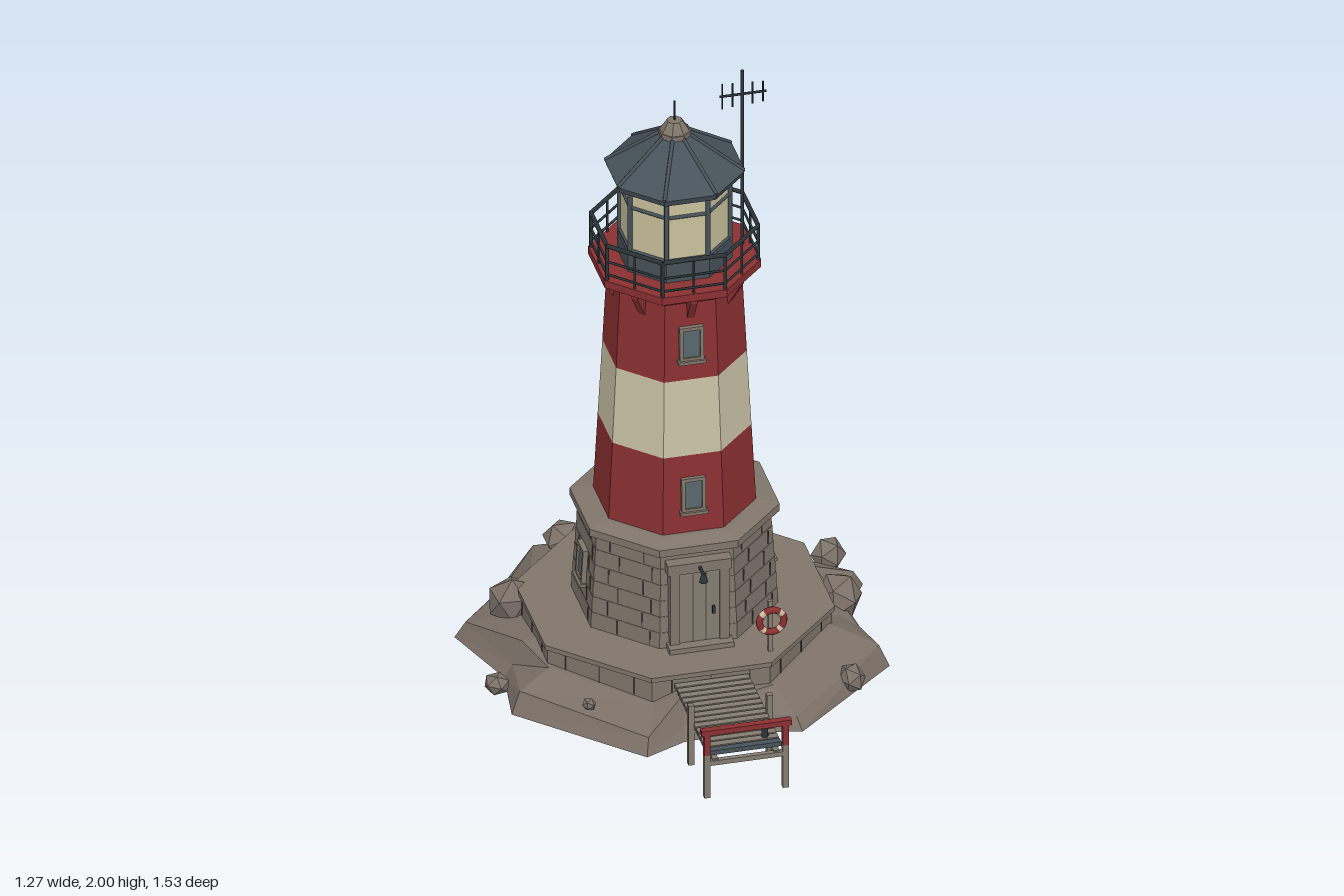
import * as THREE from 'three';

const mat = (name, color) => Object.assign(new THREE.MeshStandardMaterial({ color }), { name });
const M = {
  rock: mat('rock', 0x7c7168), stone: mat('stone', 0x80766b), joint: mat('dark joint', 0x4a443f),
  red: mat('red paint', 0x8a2f31), cream: mat('cream paint', 0xcac2a6), glass: mat('lantern glass', 0xc8c09c),
  slate: mat('slate metal', 0x47525a), iron: mat('dark iron', 0x2c3438), wood: mat('weathered wood', 0x857c71),
  pane: mat('window pane', 0x59656a),
};

const flat = (geo) => {
  const g = geo.index ? geo.toNonIndexed() : geo;
  g.computeVertexNormals();
  return g;
};

function add(parent, name, geo, material, x = 0, y = 0, z = 0) {
  const m = new THREE.Mesh(geo, material);
  m.name = name;
  m.position.set(x, y, z);
  parent.add(m);
  return m;
}
const box = (p, name, material, w, h, d, x, y, z) => add(p, name, new THREE.BoxGeometry(w, h, d), material, x, y, z);

// Octagonal frustum with flat sides facing the axes; a0 and a1 are apothems
const K = Math.cos(Math.PI / 8);
const oct = (p, name, material, a0, a1, y0, y1) => add(p, name,
  flat(new THREE.CylinderGeometry(a1 / K, a0 / K, y1 - y0, 8, 1, false, Math.PI / 8)), material, 0, (y0 + y1) / 2, 0);

const corner = (a, y, i) => {
  const t = Math.PI / 8 + i * Math.PI / 4;
  return new THREE.Vector3(Math.sin(t) * a / K, y, Math.cos(t) * a / K);
};

// Round bar between two points
function bar(p, name, material, a, b, r, sides = 6) {
  const d = b.clone().sub(a);
  const m = add(p, name, new THREE.CylinderGeometry(r, r, d.length(), sides), material);
  m.position.copy(a).add(b).multiplyScalar(0.5);
  m.quaternion.setFromUnitVectors(new THREE.Vector3(0, 1, 0), d.normalize());
  return m;
}
const V = (x, y, z) => new THREE.Vector3(x, y, z);

// Group turned toward one side of the octagon, +z pointing out
function side(p, k, name) {
  const g = new THREE.Group();
  g.name = name;
  g.rotation.y = k * Math.PI / 4;
  p.add(g);
  return g;
}

function makeWindow(p, k, a, y, slope) {
  const holder = side(p, k, 'window');
  const g = new THREE.Group();
  g.position.set(0, y, a);
  g.rotation.x = -slope;
  holder.add(g);
  box(g, 'windowPane', M.pane, 0.056, 0.095, 0.008, 0, 0, 0.004);
  for (const s of [-1, 1]) {
    box(g, 'windowJamb', M.stone, 0.011, 0.115, 0.024, s * 0.032, 0, 0.002);
    box(g, 'windowLintel', M.stone, 0.075, 0.011, 0.024, 0, s * 0.052, 0.002);
  }
  box(g, 'windowSill', M.stone, 0.086, 0.01, 0.036, 0, -0.06, 0.004);
}

function makeRock(root) {
  const outline = [[0.2, -0.767], [0.357, -0.6], [0.47, -0.47], [0.633, -0.31], [0.555, -0.17], [0.57, 0], [0.596, 0.162],
    [0.25, 0.46], [0.07, 0.42], [-0.11, 0.43], [-0.24, 0.487], [-0.575, 0.15], [-0.545, -0.06], [-0.633, -0.32],
    [-0.45, -0.53], [-0.31, -0.72], [-0.06, -0.68]];
  const n = outline.length, cz = -0.12, pos = [], idx = [];
  const heights = [0.05, 0.07, 0.04, 0.055, 0.035];
  const ring = (f) => outline.forEach(([x, z], i) => pos.push(...f(x, z - cz, i)));
  ring(() => [0, 0, cz]);
  ring((x, z) => [x, 0, z + cz]);
  ring((x, z, i) => [x * 0.95, heights[i % 5], z * 0.95 + cz]);
  ring((x, z, i) => {
    const s = Math.min(0.93, 0.49 / Math.hypot(x, z));
    return [x * s, 0.105 + 0.02 * Math.sin(i * 2.3), z * s + cz];
  });
  ring(() => [0, 0.13, cz]);
  for (let r = 0; r < 4; r++) for (let i = 0; i < n; i++) {
    const a = r * n + i, b = r * n + (i + 1) % n;
    idx.push(a, a + n, b, b, a + n, b + n);
  }
  const g = new THREE.BufferGeometry();
  g.setAttribute('position', new THREE.Float32BufferAttribute(pos, 3));
  g.setIndex(idx);
  add(root, 'rockIsland', flat(g), M.rock);

  // Loose boulders: x, y, z, radius
  [[-0.21, 0.09, -0.645, 0.068], [0.3, 0.09, -0.555, 0.07], [0.55, 0.06, -0.405, 0.058], [0.51, 0.09, -0.12, 0.08],
    [-0.46, 0.12, -0.3, 0.08], [-0.59, 0.04, 0.03, 0.042], [0.45, 0.045, 0.27, 0.048], [-0.37, 0.09, 0.29, 0.022]]
    .forEach(([x, y, z, r], i) => {
      const b = add(root, 'boulder', flat(new THREE.IcosahedronGeometry(r, 0)), M.rock, x, y, z);
      b.rotation.set(i * 1.3, i * 2.1, i * 0.7);
      b.scale.y = 0.85;
    });
}

function makeBase(t) {
  oct(t, 'foundationWall', M.stone, 0.442, 0.442, 0.03, 0.16);
  oct(t, 'foundationCap', M.stone, 0.45, 0.45, 0.16, 0.176);
  // Stone courses, each set back slightly from the one below
  const rows = 6, h = 0.325 / rows;
  for (let r = 0; r < rows; r++) {
    const a = 0.291 - r * 0.0035, y = 0.175 + r * h;
    oct(t, 'stoneCourse', M.stone, a, a - 0.002, y, y + h);
    for (let k = 0; k < 8; k++) for (const u of r % 2 ? [-0.065, 0.055] : [-0.03, 0.085]) {
      if (k === 0 && Math.abs(u) < 0.1) continue;
      if (k % 4 === 2 && Math.abs(u) < 0.04) continue;
      box(side(t, k, 'stoneJoint'), 'joint', M.joint, 0.004, h * 0.85, 0.004, u, y + h / 2, a - 0.001);
    }
  }
  for (let k = 0; k < 8; k++) for (const u of [-0.12, 0, 0.12])
    box(side(t, k, 'foundationJoint'), 'joint', M.joint, 0.004, 0.06, 0.004, u, 0.128, 0.442);
  oct(t, 'baseCornice', M.stone, 0.295, 0.295, 0.5, 0.525);
  oct(t, 'baseCorniceTop', M.stone, 0.295, 0.245, 0.525, 0.537);
  makeWindow(t, 2, 0.283, 0.335, 0.06);
  makeWindow(t, 6, 0.283, 0.335, 0.06);

  // Door with frame, step and lamp
  const d = side(t, 0, 'doorway');
  box(d, 'door', M.wood, 0.124, 0.26, 0.02, 0, 0.305, 0.291);
  for (const s of [-1, 1]) box(d, 'doorJamb', M.stone, 0.03, 0.275, 0.04, s * 0.077, 0.3125, 0.288);
  for (const u of [-0.02, 0.02]) box(d, 'doorPlankGap', M.joint, 0.003, 0.25, 0.002, u, 0.305, 0.301);
  box(d, 'doorLintel', M.stone, 0.2, 0.035, 0.05, 0, 0.457, 0.285);
  box(d, 'doorHandle', M.iron, 0.008, 0.025, 0.012, 0.043, 0.3, 0.305);
  box(d, 'doorStep', M.stone, 0.2, 0.018, 0.06, 0, 0.184, 0.305);
  bar(d, 'lampArm', M.iron, V(0, 0.458, 0.28), V(0, 0.458, 0.355), 0.005);
  add(d, 'lampShade', new THREE.CylinderGeometry(0.006, 0.014, 0.03, 8), M.iron, 0, 0.447, 0.352);
}

function makeTower(t) {
  oct(t, 'lowerRedBand', M.red, 0.229, 0.216, 0.535, 0.8);
  oct(t, 'creamBand', M.cream, 0.216, 0.203, 0.8, 1.06);
  oct(t, 'upperRedBand', M.red, 0.203, 0.19, 1.06, 1.33);
  oct(t, 'galleryCorbel', M.red, 0.191, 0.232, 1.325, 1.36);
  oct(t, 'gallerySlab', M.red, 0.243, 0.243, 1.36, 1.386);
  makeWindow(t, 0, 0.222, 0.668, 0.05);
  makeWindow(t, 0, 0.198, 1.188, 0.05);
  makeWindow(t, 4, 0.211, 0.925, 0.05);
  const tri = new THREE.Shape([new THREE.Vector2(0, 0), new THREE.Vector2(0.048, 0.085), new THREE.Vector2(0.048, 0.1), new THREE.Vector2(0, 0.1)]);
  const bracket = new THREE.ExtrudeGeometry(tri, { depth: 0.022, bevelEnabled: false });
  bracket.rotateY(-Math.PI / 2).translate(0.011, 0, 0);
  for (let k = 0; k < 8; k++) add(side(t, k, 'galleryBracket'), 'bracket', bracket, M.red, 0, 1.262, 0.188);
}

function makeLantern(t) {
  // Gallery railing
  for (let i = 0; i < 8; i++) {
    for (const [y, r] of [[1.505, 0.007], [1.45, 0.004], [1.405, 0.004]])
      bar(t, 'galleryRail', M.iron, corner(0.235, y, i), corner(0.235, y, i + 1), r);
    const foot = corner(0.235, 1.385, i), mid = foot.clone().add(corner(0.235, 1.385, i + 1)).multiplyScalar(0.5);
    bar(t, 'railPost', M.iron, foot, foot.clone().setY(1.51), 0.006);
    bar(t, 'railPost', M.iron, mid, mid.clone().setY(1.505), 0.004);
  }
  // Glazed lantern room
  oct(t, 'lanternWall', M.slate, 0.162, 0.162, 1.385, 1.45);
  oct(t, 'lanternGlass', M.glass, 0.153, 0.153, 1.45, 1.68);
  for (let i = 0; i < 8; i++) {
    bar(t, 'lanternMullion', M.slate, corner(0.155, 1.45, i), corner(0.155, 1.68, i), 0.008);
    for (const y of [1.458, 1.61, 1.672])
      bar(t, 'lanternGlazingBar', M.slate, corner(0.154, y, i), corner(0.154, y, i + 1), 0.006);
    bar(t, 'roofRib', M.slate, corner(0.195, 1.699, i), corner(0.037, 1.815, i), 0.006);
  }
  // Roof and finial
  oct(t, 'roofEave', M.slate, 0.19, 0.198, 1.676, 1.697);
  oct(t, 'roof', M.slate, 0.198, 0.036, 1.697, 1.815);
  oct(t, 'finialCollar', M.stone, 0.046, 0.046, 1.808, 1.824);
  oct(t, 'finialCap', M.stone, 0.042, 0.022, 1.824, 1.858);
  bar(t, 'lightningRod', M.iron, V(0, 1.85, 0), V(0, 1.925, 0), 0.003);
  // Antenna
  bar(t, 'antennaMast', M.iron, V(0.21, 1.385, 0), V(0.21, 2, 0), 0.006);
  bar(t, 'antennaBracket', M.iron, V(0.15, 1.637, 0), V(0.21, 1.637, 0), 0.004);
  bar(t, 'antennaBoom', M.iron, V(0.14, 1.917, 0), V(0.285, 1.917, 0), 0.004);
  [0.148, 0.18, 0.242, 0.275].forEach((x, i) =>
    bar(t, 'antennaElement', M.iron, V(x, 1.873 + i * 0.003, 0), V(x, 1.961 - i * 0.003, 0), 0.003));
}

function makePier(root) {
  const p = new THREE.Group();
  p.name = 'pier';
  root.add(p);
  for (let i = 0; i < 14; i++)
    box(p, 'deckPlank', i === 13 ? M.slate : M.wood, 0.23, 0.015, 0.023, 0, 0.139, 0.34 + i * 0.029);
  for (const s of [-1, 1]) {
    box(p, 'deckBeam', M.wood, 0.018, 0.018, 0.43, s * 0.095, 0.123, 0.535);
    box(p, 'middlePost', M.wood, 0.018, 0.21, 0.018, s * 0.122, 0.105, 0.555);
    box(p, 'endPost', M.wood, 0.018, 0.15, 0.018, s * 0.122, 0.075, 0.748);
    box(p, 'endRailPost', M.red, 0.018, 0.08, 0.018, s * 0.122, 0.19, 0.748);
  }
  for (const z of [0.555, 0.748]) box(p, 'crossBeam', M.wood, 0.26, 0.016, 0.016, 0, 0.12, z);
  box(p, 'endRail', M.red, 0.28, 0.018, 0.022, 0, 0.229, 0.748);
  add(p, 'bollard', new THREE.CylinderGeometry(0.009, 0.011, 0.05, 8), M.iron, 0.075, 0.17, 0.685);
  add(p, 'bollardCap', new THREE.CylinderGeometry(0.014, 0.014, 0.01, 8), M.iron, 0.075, 0.192, 0.685);

  // Lifebuoy on its stand, with alternating red and cream arcs
  box(root, 'lifebuoyPost', M.wood, 0.014, 0.18, 0.014, 0.2, 0.262, 0.26);
  for (let i = 0; i < 8; i++) {
    const arc = (i % 2 ? 0.24 : 0.76) * Math.PI / 2;
    const g = new THREE.TorusGeometry(0.038, 0.011, 8, 6, arc);
    const m = add(root, 'lifebuoyArc', g, i % 2 ? M.cream : M.red, 0.2, 0.29, 0.278);
    m.rotation.z = (Math.floor(i / 2) + (i % 2 ? 0.76 : 0)) * Math.PI / 2 + 0.95;
  }
}

export function createModel() {
  const root = new THREE.Group();
  root.name = 'lighthouse';
  const t = new THREE.Group();
  t.name = 'tower';
  t.position.z = -0.12;
  root.add(t);
  makeRock(root);
  makeBase(t);
  makeTower(t);
  makeLantern(t);
  makePier(root);
  return root;
}
